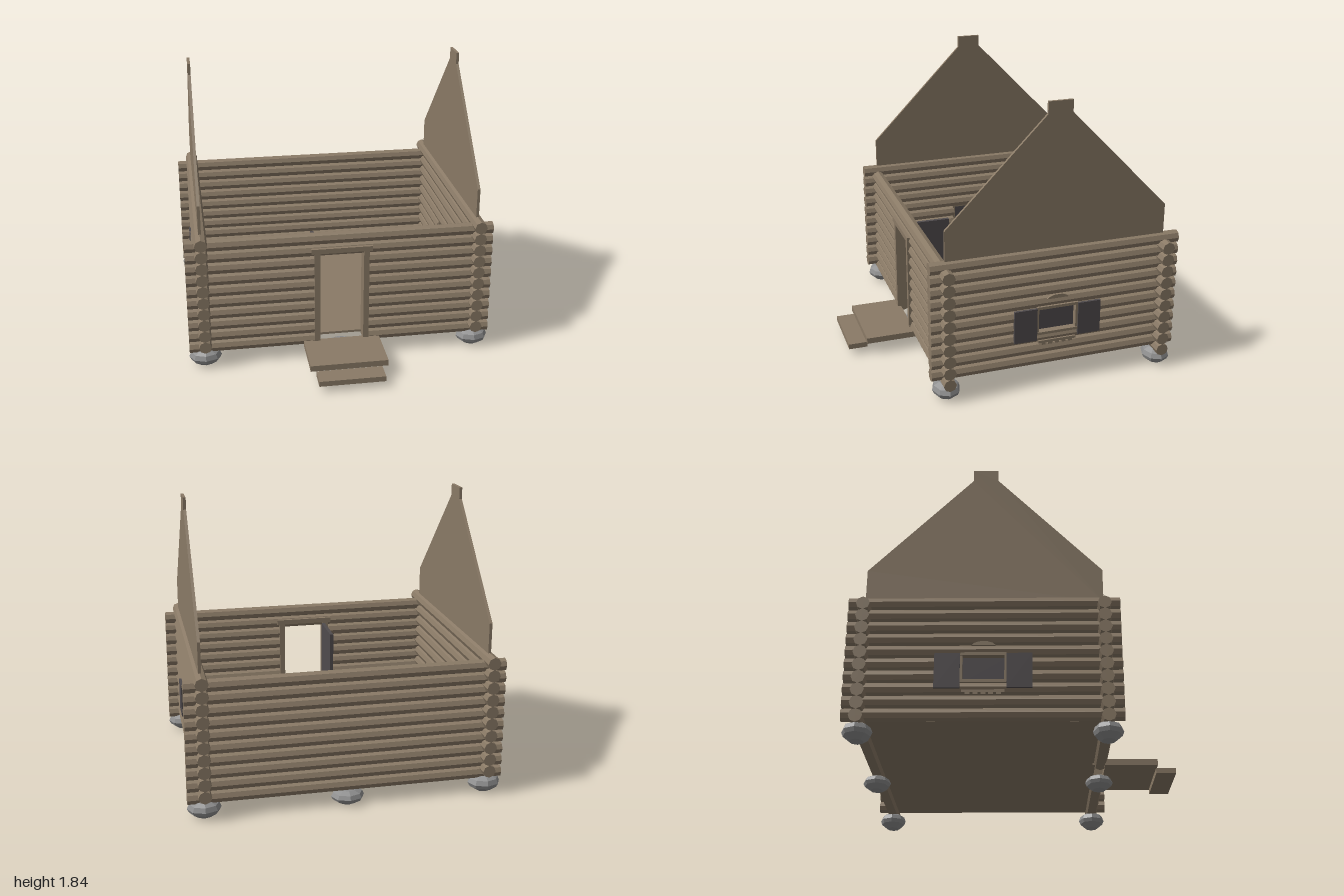
import * as THREE from 'three';

const wood = new THREE.MeshStandardMaterial({ color: 0x8a7a66 });
wood.name = 'weatheredWood';
const dark = new THREE.MeshStandardMaterial({ color: 0x504b4d });
dark.name = 'darkPaint';
const stone = new THREE.MeshStandardMaterial({ color: 0x8e8e8e });
stone.name = 'greyStone';

const LOG_R = 0.041, STEP = 0.0794, LOGS = 10;
const FRONT_Z = 0.53, BACK_Z = -0.9, SIDE_X = 0.893, WIN_Z = -0.185;

// Faceted mesh: unshared corners with face normals
function facet(parent, name, geo, mat) {
  const g = geo.index ? geo.toNonIndexed() : geo;
  g.computeVertexNormals();
  const mesh = new THREE.Mesh(g, mat);
  mesh.name = name;
  parent.add(mesh);
  return mesh;
}

// Box given by its minimum and maximum corners
function box(parent, name, [x0, y0, z0], [x1, y1, z1], mat = wood) {
  const g = new THREE.BoxGeometry(x1 - x0, y1 - y0, z1 - z0);
  g.translate((x0 + x1) / 2, (y0 + y1) / 2, (z0 + z1) / 2);
  return facet(parent, name, g, mat);
}

// Eight-sided log along x or z, from a to b
function log(parent, axis, a, b, y, offset) {
  const g = new THREE.CylinderGeometry(LOG_R, LOG_R, b - a, 8);
  const mid = (a + b) / 2;
  if (axis === 'x') g.rotateZ(Math.PI / 2).translate(mid, y, offset);
  else g.rotateX(Math.PI / 2).translate(offset, y, mid);
  facet(parent, 'log', g, wood);
}

function group(parent, name) {
  const g = new THREE.Group();
  g.name = name;
  parent.add(g);
  return g;
}

// Extruded outline drawn in (z, y), centred on the plane x
function sidePlate(parent, name, pts, x, thick) {
  const shape = new THREE.Shape(pts.map(([z, y]) => new THREE.Vector2(z, y)));
  const g = new THREE.ExtrudeGeometry(shape, { depth: thick, bevelEnabled: false });
  g.translate(0, 0, -thick / 2).rotateY(-Math.PI / 2).translate(x, 0, 0);
  return facet(parent, name, g, wood);
}

function buildWindow(parent, s) {
  const win = group(parent, s > 0 ? 'leftWindow' : 'rightWindow');
  // Box whose x range is mirrored to the chosen side
  const sb = (name, x0, x1, y0, y1, z0, z1, mat) =>
    box(win, name, [Math.min(s * x0, s * x1), y0, z0], [Math.max(s * x0, s * x1), y1, z1], mat);
  sb('pane', 0.888, 0.898, 0.36, 0.525, WIN_Z - 0.135, WIN_Z + 0.135, dark);
  sb('header', 0.87, 0.94, 0.522, 0.54, WIN_Z - 0.135, WIN_Z + 0.135);
  sb('sill', 0.87, 0.942, 0.35, 0.367, WIN_Z - 0.135, WIN_Z + 0.135);
  for (const d of [-1, 1]) {
    const j = WIN_Z + d * 0.13;
    sb('jamb', 0.87, 0.936, 0.36, 0.53, j - 0.008, j + 0.008);
    const c = WIN_Z + d * 0.211;
    sb('shutter', 0.928, 0.945, 0.315, 0.533, c - 0.075, c + 0.075, dark);
  }
  // Carved crest above and scalloped apron below
  sidePlate(win, 'crest', [
    [WIN_Z - 0.07, 0.588], [WIN_Z + 0.07, 0.588], [WIN_Z + 0.055, 0.602],
    [WIN_Z + 0.025, 0.612], [WIN_Z - 0.025, 0.612], [WIN_Z - 0.055, 0.602],
  ], s * 0.931, 0.014);
  sb('apron', 0.924, 0.938, 0.288, 0.305, WIN_Z - 0.125, WIN_Z + 0.125);
  for (let i = -2; i <= 2; i++) {
    const c = WIN_Z + i * 0.045;
    sb('scallop', 0.924, 0.938, 0.275, 0.288, c - 0.014, c + 0.014);
  }
}

export function createModel() {
  const cabin = new THREE.Group();
  cabin.name = 'logCabin';

  // Foundation stones under the corners and the middle of the long walls
  const stones = group(cabin, 'foundationStones');
  const profile = [[0, 0], [0.05, 0.004], [0.094, 0.034], [0.106, 0.058], [0.092, 0.088], [0.05, 0.108], [0, 0.11]];
  for (const z of [FRONT_Z, BACK_Z]) {
    for (const x of [-0.893, 0, 0.893]) {
      const g = new THREE.LatheGeometry(profile.map(([r, y]) => new THREE.Vector2(r, y)), 8);
      g.scale(1, x ? 1 : 0.86, 0.84).translate(x, 0, z);
      facet(stones, 'foundationStone', g, stone);
    }
  }

  box(cabin, 'floor', [-0.89, 0.125, -0.9], [0.89, 0.14, 0.5]);

  // Front and back walls, the front one open for the doorway
  const front = group(cabin, 'frontWall'), back = group(cabin, 'backWall');
  for (let i = 0; i < LOGS; i++) {
    const y = 0.127 + i * STEP;
    log(back, 'x', -0.995, 0.995, y, BACK_Z);
    if (i < 8) {
      log(front, 'x', -0.995, -0.15, y, FRONT_Z);
      log(front, 'x', 0.15, 0.995, y, FRONT_Z);
    } else log(front, 'x', -0.995, 0.995, y, FRONT_Z);
  }

  // Side walls, windows and gable boards
  for (const s of [-1, 1]) {
    const wall = group(cabin, s > 0 ? 'leftWall' : 'rightWall');
    for (let i = 0; i < LOGS; i++) {
      const y = 0.165 + i * STEP;
      if (i === 3 || i === 4) {
        log(wall, 'z', -0.998, WIN_Z - 0.13, y, s * SIDE_X);
        log(wall, 'z', WIN_Z + 0.13, 0.628, y, s * SIDE_X);
      } else log(wall, 'z', -0.998, 0.628, y, s * SIDE_X);
    }
    buildWindow(wall, s);
    sidePlate(wall, 'gable', [
      [FRONT_Z, 0.89], [FRONT_Z, 1.11], [-0.107, 1.765], [-0.107, 1.84],
      [-0.263, 1.84], [-0.263, 1.765], [BACK_Z, 1.11], [BACK_Z, 0.89],
    ], s * SIDE_X, 0.018);
  }

  // Doorway with its frame and the door standing open inwards
  const doorway = group(cabin, 'doorway');
  for (const s of [-1, 1]) {
    const x = s * 0.16;
    box(doorway, 'doorPost', [x - 0.018, 0.11, 0.482], [x + 0.018, 0.755, 0.578]);
  }
  box(doorway, 'lintel', [-0.198, 0.753, 0.478], [0.198, 0.786, 0.582]);
  box(doorway, 'door', [-0.155, 0.145, 0.2], [-0.132, 0.745, 0.482], dark);

  // Entrance steps
  const steps = group(cabin, 'steps');
  box(steps, 'upperStep', [-0.25, 0.085, 0.555], [0.25, 0.124, 0.884]);
  box(steps, 'lowerStep', [-0.212, 0.044, 0.876], [0.212, 0.079, 1]);

  return cabin;
}
